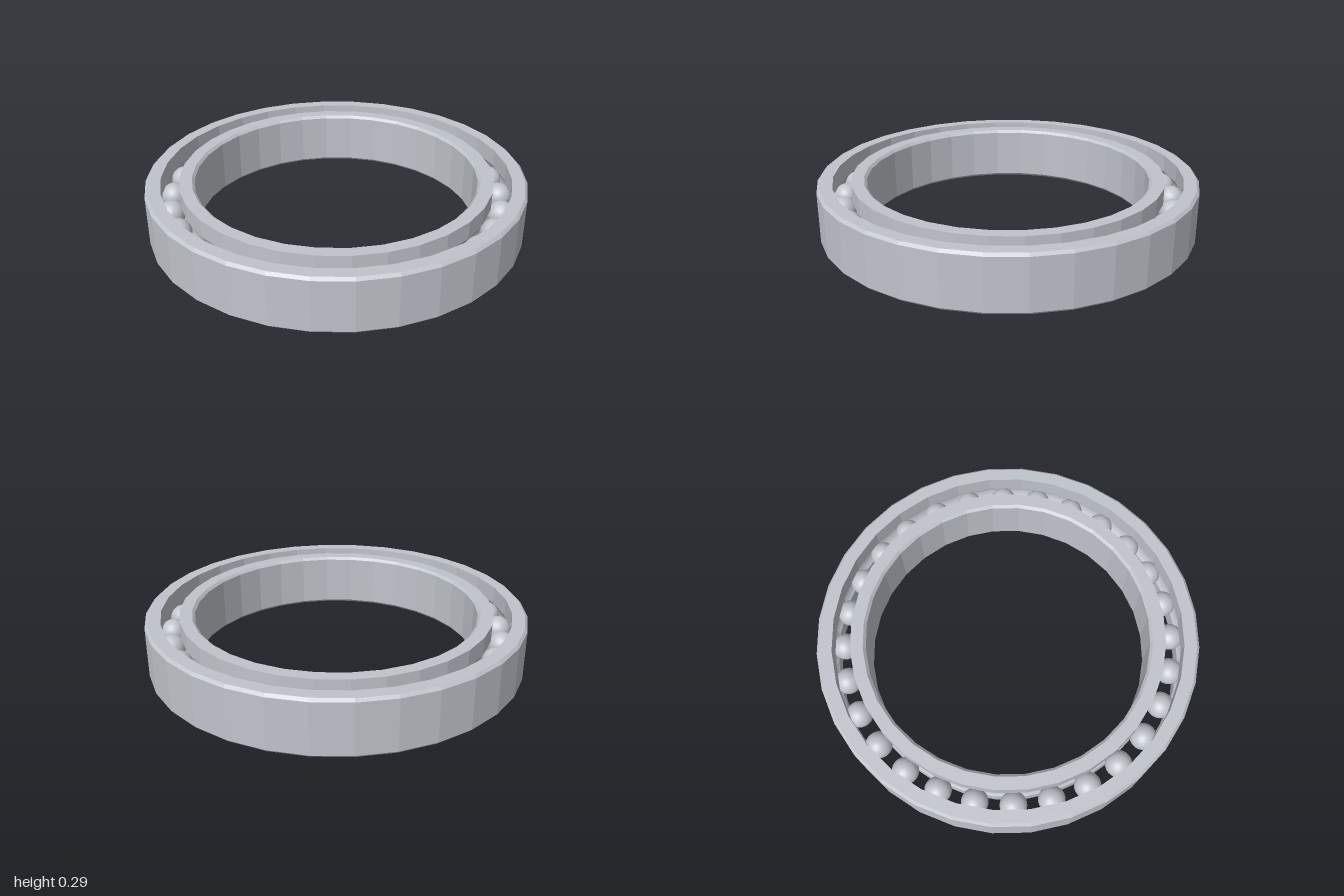
import * as THREE from 'three';

const HEIGHT = 0.295, MID = HEIGHT / 2, BEVEL = 0.014;
const PITCH = 0.872, BALL = 0.07, BALLS = 28, SIDES = 32;

// Arc of the ball groove on the wall at radius wall, listed from bottom to top
function groove(wall) {
  const side = Math.sign(wall - PITCH), r = BALL + 0.003;
  const half = Math.acos(Math.abs(wall - PITCH) / r);
  const points = [];
  for (let i = 0; i <= 8; i++) {
    const a = -half + (2 * half * i) / 8;
    points.push([PITCH + side * r * Math.cos(a), MID + r * Math.sin(a)]);
  }
  return points;
}

// Faceted ring from a closed counter-clockwise profile
function ring(name, profile, material) {
  const points = [...profile, profile[0]].map(([x, y]) => new THREE.Vector2(x, y));
  const geometry = new THREE.LatheGeometry(points, SIDES).toNonIndexed();
  geometry.computeVertexNormals();
  const mesh = new THREE.Mesh(geometry, material);
  mesh.name = name;
  return mesh;
}

export function createModel() {
  const steel = new THREE.MeshStandardMaterial({ color: 0xc0c4cb });
  steel.name = 'steel';
  const group = new THREE.Group();
  group.name = 'ballBearing';

  // Outer ring, bevelled outside, grooved inside
  const outer = 1, outerWall = 0.92;
  group.add(ring('outerRing', [
    [outerWall, 0], [outer - BEVEL, 0], [outer, BEVEL], [outer, HEIGHT - BEVEL],
    [outer - BEVEL, HEIGHT], [outerWall, HEIGHT], ...groove(outerWall).reverse(),
  ], steel));

  // Inner ring, bevelled at the bore, grooved outside
  const bore = 0.745, innerWall = 0.825;
  group.add(ring('innerRing', [
    [bore + BEVEL, 0], [innerWall, 0], ...groove(innerWall), [innerWall, HEIGHT],
    [bore + BEVEL, HEIGHT], [bore, HEIGHT - BEVEL], [bore, BEVEL],
  ], steel));

  // Balls running between the rings
  const balls = new THREE.Group();
  balls.name = 'balls';
  const ballGeometry = new THREE.SphereGeometry(BALL, 24, 16);
  for (let i = 0; i < BALLS; i++) {
    const a = (i / BALLS) * Math.PI * 2;
    const ball = new THREE.Mesh(ballGeometry, steel);
    ball.name = 'ball';
    ball.position.set(PITCH * Math.sin(a), MID, PITCH * Math.cos(a));
    balls.add(ball);
  }
  group.add(balls);
  return group;
}
